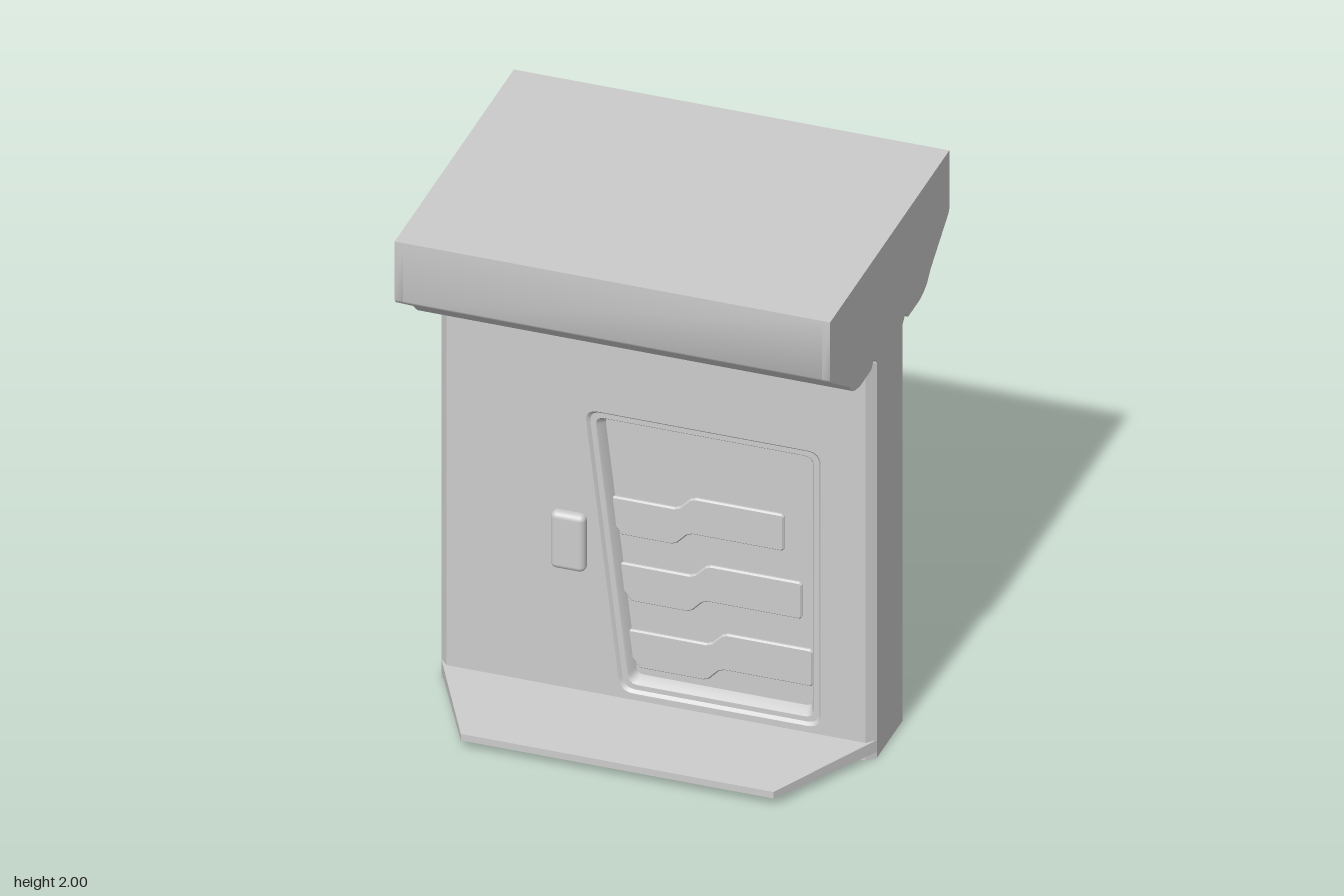
import * as THREE from 'three';
import { toCreasedNormals } from 'three/addons/utils/BufferGeometryUtils.js';
import { RoundedBoxGeometry } from 'three/addons/geometries/RoundedBoxGeometry.js';

const material = new THREE.MeshStandardMaterial({ color: 0xcccccc });
const HALF_W = 0.787, CHAMFER = 0.03, FACE = 0.16, PANEL = 0.105, BODY_H = 1.575;

const shapeOf = (pts) => new THREE.Shape(pts.map(([x, y]) => new THREE.Vector2(x, y)));
const extrude = (shape, depth) => new THREE.ExtrudeGeometry(shape, { depth, bevelEnabled: false });

function addMesh(group, name, geometry) {
  const mesh = new THREE.Mesh(geometry, material);
  mesh.name = name;
  group.add(mesh);
  return mesh;
}

// Mirror a geometry to the back and restore the winding
function mirrorZ(geometry) {
  const g = geometry.index ? geometry.toNonIndexed() : geometry.clone();
  for (const key of ['position', 'normal']) {
    const a = g.attributes[key];
    for (let i = 0; i < a.count; i += 3) {
      const p = [0, 2, 1].map((k) => [a.getX(i + k), a.getY(i + k), -a.getZ(i + k)]);
      p.forEach((v, k) => a.setXYZ(i + k, ...v));
    }
  }
  return g;
}

// Door outline with one slanted side and rounded corners, shrunk by d
function doorOutline(d) {
  const slope = 0.117, y0 = 0.095 + d, y1 = 1.19 - d, right = 0.595 - d;
  const left = -0.13 + d * 1.007;
  const corners = [
    [left - slope * d, y0], [right, y0], [right, y1], [left - slope * (1.095 - d), y1],
  ].map((p) => new THREE.Vector2(...p));
  const r = 0.05 - d * 0.5, out = [];
  corners.forEach((c, i) => {
    const toward = (o) => o.clone().sub(c).setLength(r).add(c);
    const a = toward(corners[(i + 3) % 4]), b = toward(corners[(i + 1) % 4]);
    out.push(...new THREE.QuadraticBezierCurve(a, c, b).getPoints(6));
  });
  return out;
}

// Stepped frame lofted from the wall face down to the sunken panel
function doorFrameGeometry(steps) {
  const pos = [];
  for (let s = 0; s < steps.length - 1; s++) {
    const [a, b] = [steps[s], steps[s + 1]].map(([d, z]) => doorOutline(d).map((p) => [p.x, p.y, z]));
    for (let i = 0; i < a.length; i++) {
      const j = (i + 1) % a.length;
      pos.push(...a[i], ...a[j], ...b[j], ...a[i], ...b[j], ...b[i]);
    }
  }
  const g = new THREE.BufferGeometry();
  g.setAttribute('position', new THREE.Float32BufferAttribute(pos, 3));
  return toCreasedNormals(g, 0.5);
}

// Raised bar with a sloping jog; its left end runs into the door frame
function barGeometry(left, jog, right, top) {
  const low = top - 0.052, bottom = top - 0.145, foot = top - 0.198;
  const shape = shapeOf([
    [left + 0.04, foot], [jog - 0.015, foot], [jog + 0.005, foot + 0.008], [jog + 0.04, bottom - 0.008],
    [jog + 0.06, bottom], [right - 0.008, bottom], [right, bottom + 0.008], [right, top - 0.008],
    [right - 0.008, top], [jog + 0.07, top], [jog + 0.05, top - 0.008], [jog + 0.015, low + 0.008],
    [jog - 0.005, low], [left - 0.025, low], [left, foot + 0.05],
  ]);
  const g = new THREE.ExtrudeGeometry(shape, {
    depth: 0.006, bevelThickness: 0.006, bevelSize: 0.005, bevelOffset: -0.005, bevelSegments: 1,
  });
  return g.translate(0, 0, PANEL);
}

// Canopy cross-section; the end slices have a notch above each chamfered corner
function canopySlice(width, x, notched) {
  const half = [[0.6, 2], [0.6, 1.768], [0.594, 1.758], [0.582, 1.748], [0.41, 1.635], [0.395, 1.618],
    [0.372, 1.597], [0.345, 1.585], [0.3, 1.575]];
  if (notched) half.push([0.185, 1.575], [0.157, 1.605], [0.13, 1.575]);
  const pts = [...half, ...half.map(([z, y]) => [-z, y]).reverse()];
  const g = extrude(shapeOf(pts), width).translate(0, 0, -width / 2).rotateY(-Math.PI / 2);
  return toCreasedNormals(g.translate(x, 0, 0), 0.6);
}

// Tapered foot plate, narrower and thinner at its outer edge
function footPlateGeometry(reach) {
  const g = new THREE.BoxGeometry(2, 2, 1).toNonIndexed();
  const p = g.attributes.position;
  for (let i = 0; i < p.count; i++) {
    const outer = p.getZ(i) > 0;
    const x = Math.sign(p.getX(i)) * (outer ? 0.565 : HALF_W);
    const y = 0.047 + Math.sign(p.getY(i)) * (outer ? 0.013 : 0.024);
    p.setXYZ(i, x, y, outer ? reach : FACE - CHAMFER);
  }
  g.computeVertexNormals();
  return g;
}

export function createModel() {
  const model = new THREE.Group();
  model.name = 'pedestal';

  // Canopy
  const canopy = new THREE.Group();
  canopy.name = 'canopy';
  model.add(canopy);
  addMesh(canopy, 'canopyMiddle', canopySlice(2 * (HALF_W - CHAMFER), 0, false));
  for (const side of [-1, 1]) {
    addMesh(canopy, 'canopyEnd', canopySlice(CHAMFER, side * (HALF_W - CHAMFER / 2), true));
  }

  // Body: core slab with chamfered side posts
  const inner = HALF_W - CHAMFER;
  const core = addMesh(model, 'bodyCore', new THREE.BoxGeometry(2 * inner, BODY_H, 2 * PANEL - 0.01));
  core.position.y = BODY_H / 2;
  for (const s of [-1, 1]) {
    const plan = shapeOf([
      [s * inner, -FACE], [s * HALF_W, CHAMFER - FACE], [s * HALF_W, FACE - CHAMFER], [s * inner, FACE],
    ]);
    addMesh(model, 'sidePost', extrude(plan, BODY_H).rotateX(-Math.PI / 2));
  }
  const sole = addMesh(model, 'bodyBase', new THREE.BoxGeometry(2 * inner, 0.08, 2 * FACE - 0.002));
  sole.position.y = 0.04;

  // Parts found on both the front and the back
  const wall = shapeOf([[-inner, 0], [inner, 0], [inner, BODY_H], [-inner, BODY_H]]);
  wall.holes.push(new THREE.Path(doorOutline(0)));
  const frameSteps = [[0, FACE], [0.01, 0.148], [0.029, 0.148], [0.034, 0.142], [0.048, PANEL]];
  const panel = new THREE.ShapeGeometry(new THREE.Shape(doorOutline(0.047)));
  const parts = [
    ['wall', new THREE.ShapeGeometry(wall).translate(0, 0, FACE)],
    ['doorFrame', doorFrameGeometry(frameSteps)],
    ['doorPanel', panel.translate(0, 0, PANEL)],
    ['upperBar', barGeometry(-0.18, 0.055, 0.445, 0.887)],
    ['middleBar', barGeometry(-0.145, 0.11, 0.51, 0.63)],
    ['lowerBar', barGeometry(-0.115, 0.17, 0.55, 0.37)],
    ['handle', new RoundedBoxGeometry(0.126, 0.225, 0.08, 4, 0.022).translate(-0.313, 0.662, 0.15)],
  ];
  for (const [name, geometry] of parts) {
    addMesh(model, name, geometry);
    addMesh(model, name + 'Back', mirrorZ(geometry));
  }

  // Foot plates
  addMesh(model, 'footPlate', footPlateGeometry(0.553));
  addMesh(model, 'footPlateBack', mirrorZ(footPlateGeometry(0.528)));
  return model;
}
